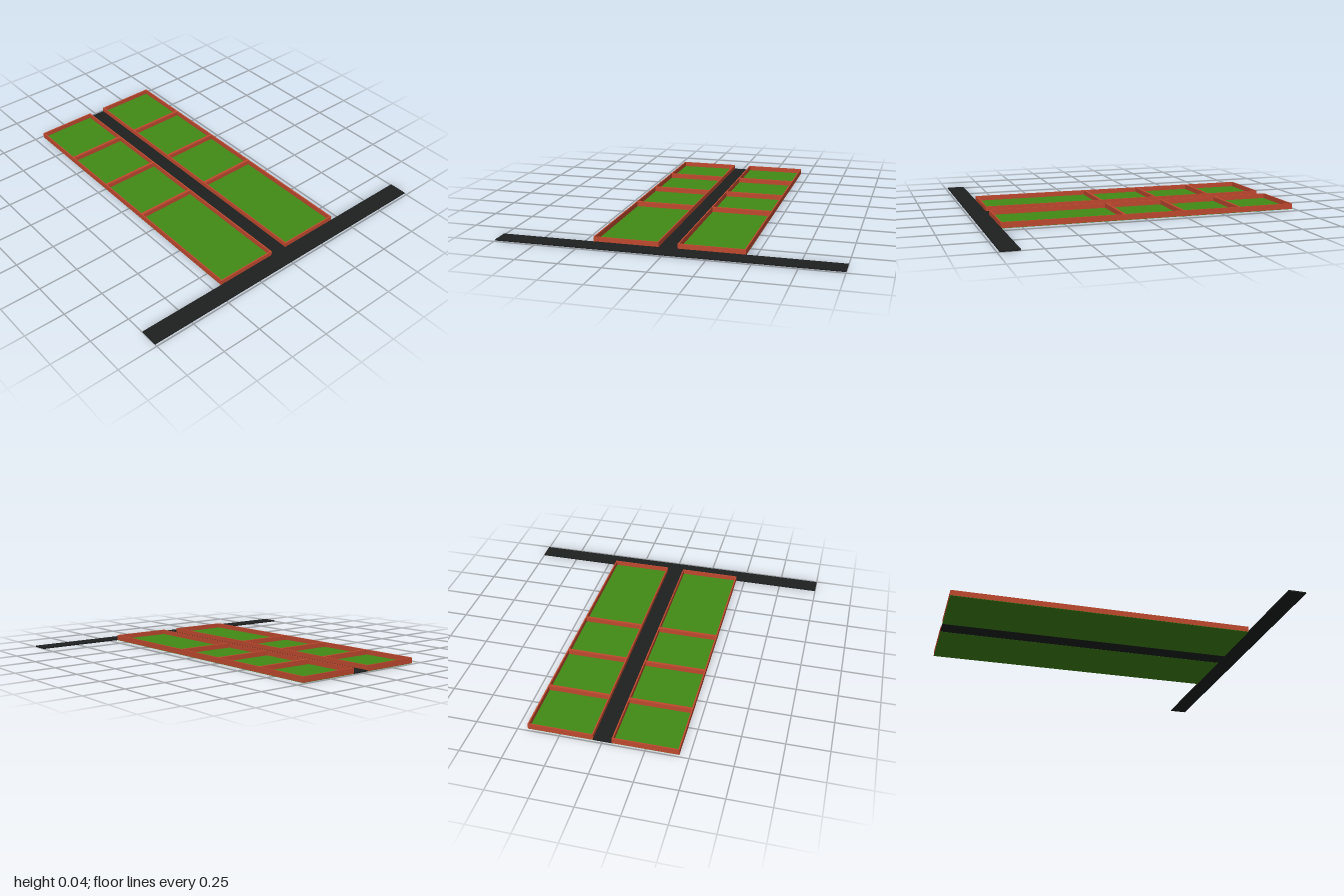
import * as THREE from 'three';

const OUTER = 0.443, INNER = 0.055; // plot row limits in x
const BACK = -0.985, FRONT = 0.875, END = 0.985; // limits in z
const WALL = 0.008, WALL_TOP = 0.036;
const DIVIDERS = [-0.62, -0.247, 0.127];

const paving = new THREE.MeshStandardMaterial({ color: 0x1e1f1f });
const grass = new THREE.MeshStandardMaterial({ color: 0x428a16 });
const brick = new THREE.MeshStandardMaterial({ color: 0xc0492f });

// Flat slab between two corners in plan
function slab(name, material, x0, x1, z0, z1, y0, y1) {
  const mesh = new THREE.Mesh(new THREE.BoxGeometry(x1 - x0, y1 - y0, z1 - z0), material);
  mesh.position.set((x0 + x1) / 2, (y0 + y1) / 2, (z0 + z1) / 2);
  mesh.name = name;
  return mesh;
}

// Rectangle in plan; shape y is -z
function rectangle(target, x0, x1, z0, z1) {
  target.moveTo(x0, -z1);
  target.lineTo(x1, -z1);
  target.lineTo(x1, -z0);
  target.lineTo(x0, -z0);
  target.closePath();
  return target;
}

// One row of plots: lawn base plus a low wall with an opening per plot
function plotRow(name, x0, x1) {
  const row = new THREE.Group();
  row.name = name;
  row.add(slab('lawn', grass, x0 + 0.001, x1 - 0.001, BACK + 0.001, FRONT - 0.001, 0, 0.006));

  const outline = rectangle(new THREE.Shape(), x0, x1, BACK, FRONT);
  const edges = [BACK, ...DIVIDERS, FRONT];
  for (let i = 0; i < edges.length - 1; i++) {
    outline.holes.push(rectangle(new THREE.Path(), x0 + WALL, x1 - WALL, edges[i] + WALL, edges[i + 1] - WALL));
  }
  const geometry = new THREE.ExtrudeGeometry(outline, { depth: WALL_TOP - 0.002, bevelEnabled: false });
  geometry.rotateX(-Math.PI / 2);
  geometry.translate(0, 0.002, 0);
  const wall = new THREE.Mesh(geometry, brick);
  wall.name = 'plotWalls';
  row.add(wall);
  return row;
}

export function createModel() {
  const model = new THREE.Group();
  model.name = 'gardenPlots';
  // Street across the front and path between the rows
  model.add(slab('street', paving, -1, 1, FRONT, END, 0, 0.008));
  model.add(slab('centrePath', paving, -INNER, INNER, BACK, FRONT, 0, 0.008));
  model.add(plotRow('leftPlots', INNER, OUTER));
  model.add(plotRow('rightPlots', -OUTER, -INNER));
  return model;
}
